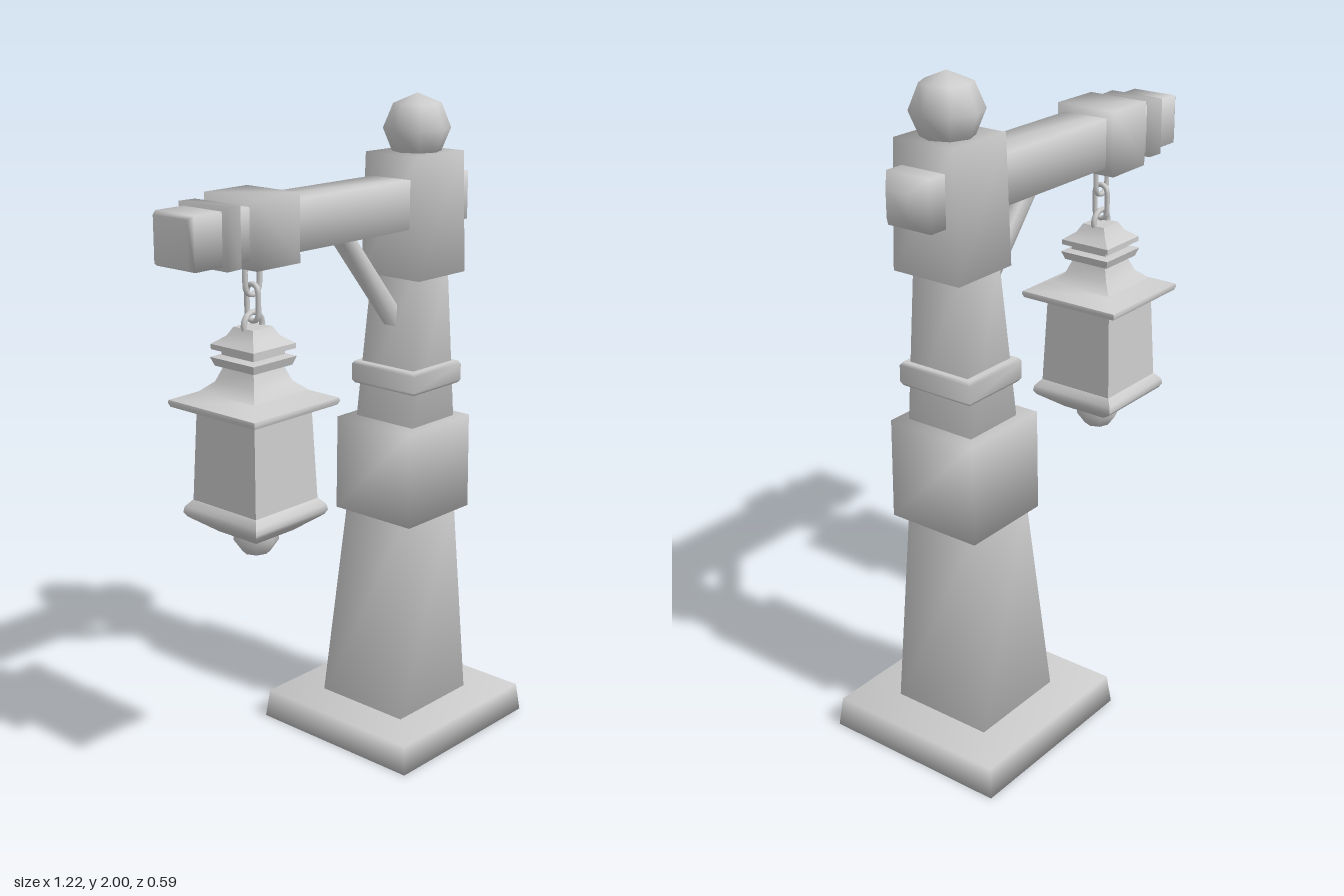
import * as THREE from 'three';
import { toCreasedNormals } from 'three/addons/utils/BufferGeometryUtils.js';

// Square loft along y. Each section is [y, centreX, halfX, halfZ].
function loft(sections, crease) {
  const pos = [], idx = [];
  for (const [y, cx, hx, hz] of sections) {
    pos.push(cx - hx, y, hz, cx + hx, y, hz, cx + hx, y, -hz, cx - hx, y, -hz);
  }
  for (let s = 0; s < sections.length - 1; s++) {
    for (let i = 0; i < 4; i++) {
      const a = s * 4 + i, b = s * 4 + (i + 1) % 4;
      idx.push(a, b, b + 4, a, b + 4, a + 4);
    }
  }
  const t = (sections.length - 1) * 4;
  idx.push(0, 2, 1, 0, 3, 2, t, t + 1, t + 2, t, t + 2, t + 3);
  const geo = new THREE.BufferGeometry();
  geo.setAttribute('position', new THREE.Float32BufferAttribute(pos, 3));
  geo.setIndex(idx);
  geo.computeVertexNormals();
  return crease ? toCreasedNormals(geo, crease) : geo;
}

// Closed chain link with straight sides, standing in the xy plane.
function linkGeometry(halfWidth, halfHeight, thickness) {
  const pts = [];
  for (let i = 0; i < 12; i++) {
    const a = i / 12 * Math.PI * 2, s = Math.sin(a);
    pts.push(new THREE.Vector3(Math.cos(a) * halfWidth,
      s * halfWidth + Math.sign(Math.round(s * 100)) * (halfHeight - halfWidth), 0));
  }
  return new THREE.TubeGeometry(new THREE.CatmullRomCurve3(pts, true), 24, thickness, 6, true);
}

export function createModel() {
  const root = new THREE.Group();
  const material = new THREE.MeshStandardMaterial({ color: 0xcccccc });
  const add = (parent, name, geo, x = 0, y = 0, z = 0) => {
    const mesh = new THREE.Mesh(geo, material);
    mesh.name = name;
    mesh.position.set(x, y, z);
    parent.add(mesh);
    return mesh;
  };
  const group = (name) => {
    const g = new THREE.Group();
    g.name = name;
    root.add(g);
    return g;
  };

  // Upright post with its collars
  const post = group('post');
  const postParts = {
    base: [[0, 0.306, 0.299, 0.295], [0.09, 0.306, 0.288, 0.285]],
    lowerPost: [[0.08, 0.308, 0.163, 0.163], [0.73, 0.328, 0.121, 0.119]],
    middleCollar: [[0.715, 0.336, 0.146, 0.149], [1.015, 0.336, 0.146, 0.145]],
    upperPost: [[1.0, 0.343, 0.101, 0.113], [1.48, 0.357, 0.079, 0.084]],
    postBand: [[1.12, 0.347, 0.107, 0.118], [1.13, 0.347, 0.113, 0.125],
      [1.18, 0.347, 0.113, 0.125], [1.19, 0.347, 0.107, 0.118]],
    postHead: [[1.465, 0.372, 0.11, 0.113], [1.83, 0.372, 0.108, 0.1]],
  };
  for (const [name, sections] of Object.entries(postParts)) add(post, name, loft(sections));
  add(post, 'ballFinial', new THREE.SphereGeometry(0.102, 8, 4), 0.38, 1.898);

  // Horizontal beam, lofted upright then laid along x
  const beam = group('beam');
  const beamParts = {
    crossBeam: [[-0.615, 0, 0.064, 0.064], [-0.598, 0, 0.073, 0.073],
      [0.54, 0, 0.073, 0.073], [0.585, 0, 0.036, 0.036]],
    beamBand: [[-0.5, 0, 0.084, 0.09], [-0.445, 0, 0.084, 0.086]],
    hangerBlock: [[-0.4, 0, 0.096, 0.098], [-0.235, 0, 0.096, 0.1]],
  };
  for (const [name, sections] of Object.entries(beamParts)) {
    add(beam, name, loft(sections)).rotation.z = -Math.PI / 2;
  }
  beam.position.y = 1.688;

  // Diagonal brace between post and beam
  const from = new THREE.Vector3(0.3, 1.31, 0), to = new THREE.Vector3(0.02, 1.645, 0);
  const length = from.distanceTo(to);
  const brace = add(root, 'brace', loft([[0, 0, 0.023, 0.023], [length, 0, 0.023, 0.023]]),
    from.x, from.y);
  brace.quaternion.setFromUnitVectors(new THREE.Vector3(0, 1, 0), to.sub(from).normalize());

  // Hanging chain
  const chain = group('chain');
  chain.position.x = -0.32;
  add(chain, 'upperLink', linkGeometry(0.028, 0.053, 0.008), 0, 1.557);
  add(chain, 'lowerLink', linkGeometry(0.022, 0.052, 0.008), 0, 1.482).rotation.y = Math.PI / 2;
  add(chain, 'lanternRing', new THREE.TorusGeometry(0.036, 0.009, 6, 14), 0, 1.42);

  // Square lantern: profiles are [y, halfWidth]
  const lantern = group('lantern');
  lantern.position.x = -0.32;
  const lanternParts = {
    lanternCap: [[1.3, 0.058], [1.305, 0.076], [1.33, 0.085], [1.336, 0.062], [1.348, 0.062],
      [1.352, 0.083], [1.367, 0.083], [1.39, 0.052], [1.415, 0.038]],
    lanternRoof: [[1.188, 0.165], [1.2, 0.17], [1.208, 0.168], [1.232, 0.108],
      [1.26, 0.076], [1.305, 0.058]],
    lanternBody: [[0.905, 0.125], [1.195, 0.113]],
    lanternTray: [[0.815, 0.075], [0.862, 0.138], [0.875, 0.146], [0.892, 0.143], [0.912, 0.126]],
  };
  for (const [name, profile] of Object.entries(lanternParts)) {
    add(lantern, name, loft(profile.map(([y, h]) => [y, 0, h, h]), 0.8));
  }
  add(lantern, 'bottomKnob', new THREE.SphereGeometry(0.069, 8, 5), 0, 0.81);

  return root;
}
